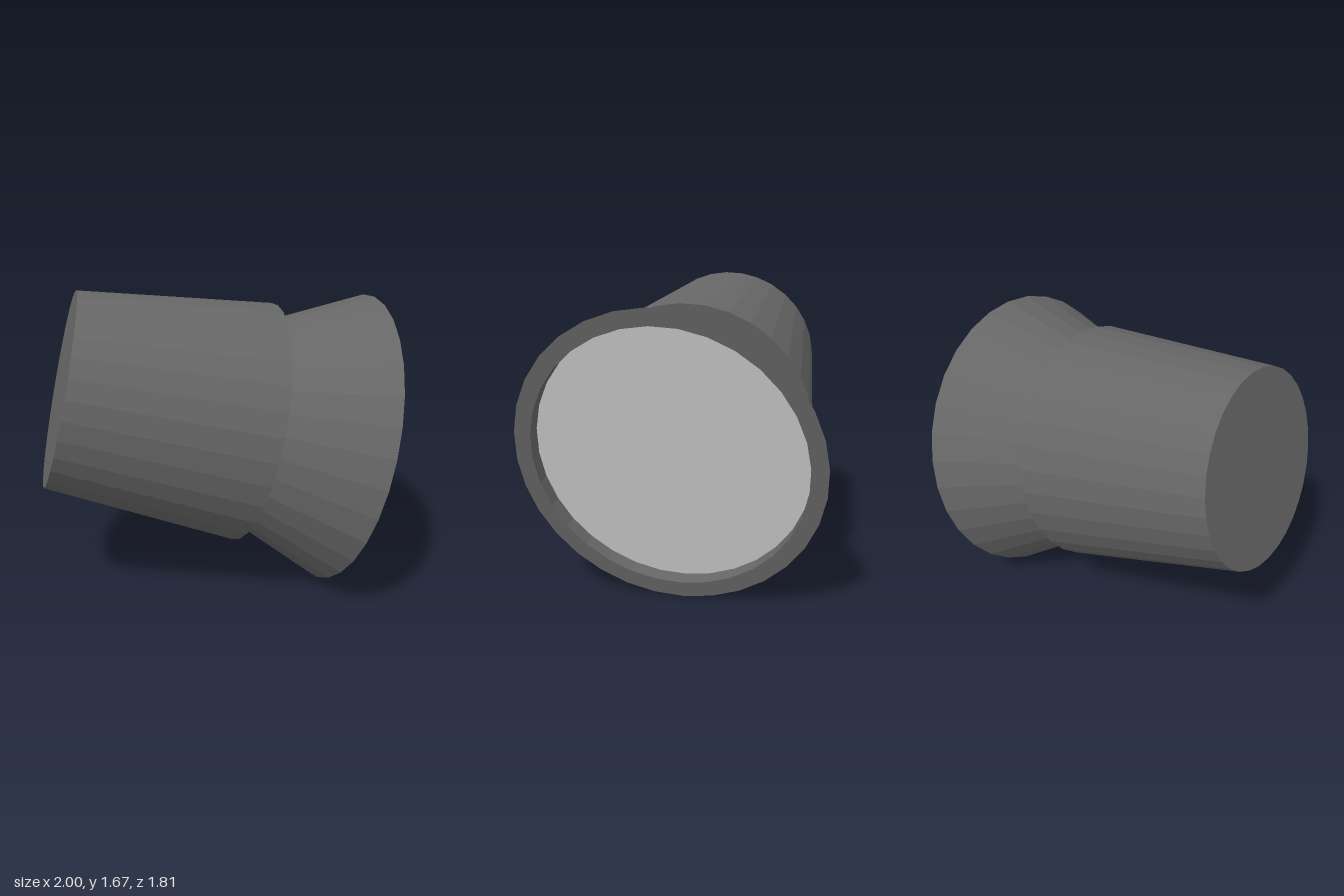
import * as THREE from 'three';

const SIDES = 32;

// Spins a [radius, height] profile around the lamp's axis
function turned(name, profile, material) {
  const points = profile.map(([r, h]) => new THREE.Vector2(r, h));
  const mesh = new THREE.Mesh(new THREE.LatheGeometry(points, SIDES), material);
  mesh.name = name;
  return mesh;
}

export function createModel() {
  const model = new THREE.Group();
  model.name = 'spotlight';
  const housing = new THREE.MeshStandardMaterial({ color: 0x666666, flatShading: true });
  const glass = new THREE.MeshStandardMaterial({ color: 0xcccccc, flatShading: true });

  // The lamp is built upright, then tilted along its aiming direction
  const lamp = new THREE.Group();
  lamp.name = 'lampHead';

  // Tapered body, closed at the back, with a step at the front
  lamp.add(turned('body', [[0, 0], [0.528, 0], [0.668, 1.06], [0, 1.06]], housing));

  // Flared hood with a flat lip and a shallow recess
  lamp.add(turned('hood', [[0.57, 1.06], [0.82, 1.588], [0.73, 1.588], [0.73, 1.508]], housing));

  // Lens sitting in the recess
  const lens = new THREE.Mesh(new THREE.CircleGeometry(0.73, SIDES).rotateX(-Math.PI / 2), glass);
  lens.name = 'lens';
  lens.position.y = 1.508;
  lamp.add(lens);

  const aim = new THREE.Vector3(0.914, -0.2235, -0.34).normalize();
  lamp.quaternion.setFromUnitVectors(new THREE.Vector3(0, 1, 0), aim);
  lamp.position.set(-0.785, 1.155, 0.4);
  model.add(lamp);
  return model;
}
